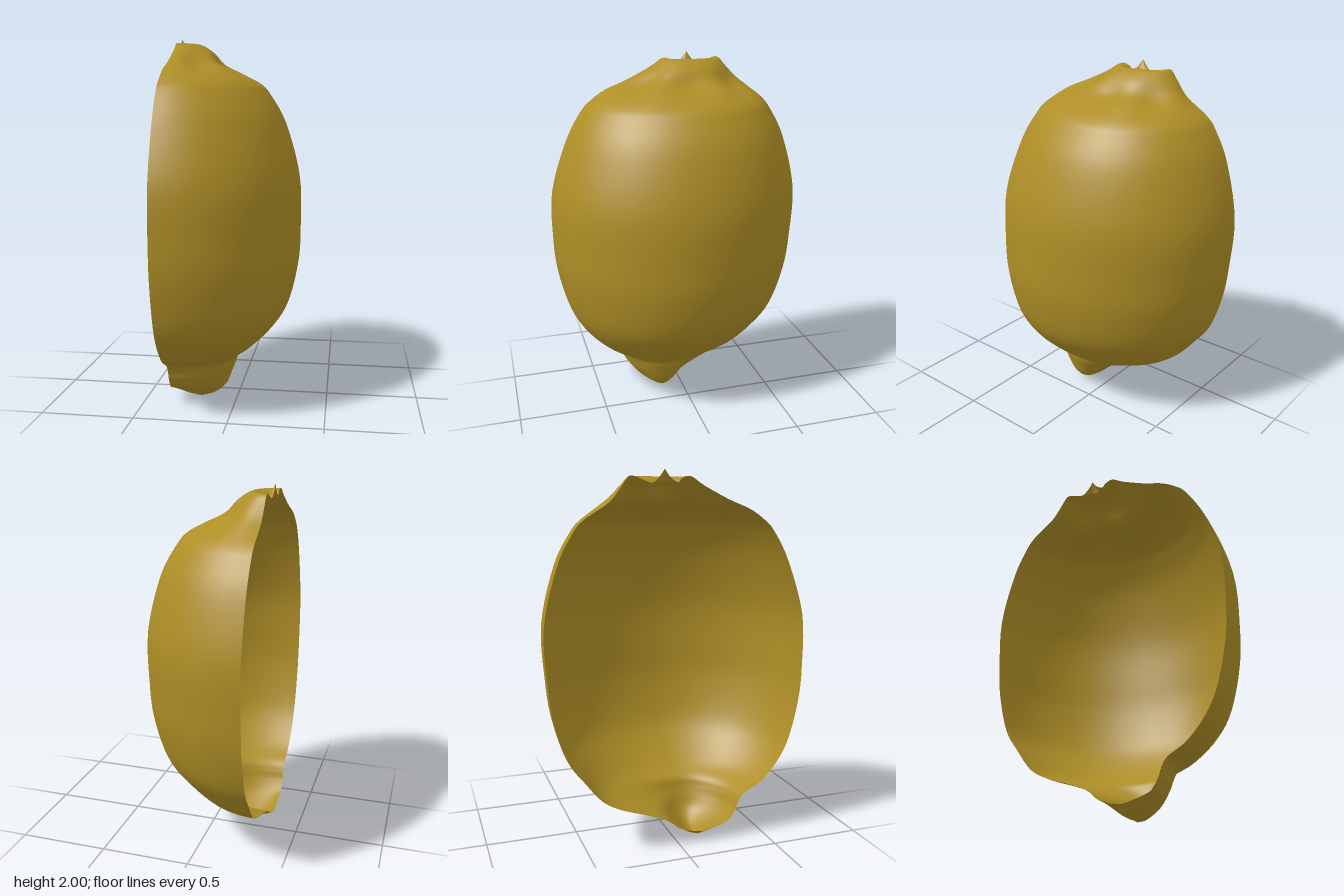
import * as THREE from 'three';

// Flat plane along which the fruit is halved
const CUT = -0.345;

// Horizontal sections, blossom tip to stem dimple: y, back z, front z, outermost x
const SECTIONS = [
  [0, 0.13, 0.13, -0.2],
  [0.025, 0.07, 0.19, -0.125],
  [0.08, 0.01, 0.27, -0.06],
  [0.15, -0.07, 0.325, -0.03],
  [0.2, -0.19, 0.345, -0.01],
  [0.25, -0.33, 0.38, 0.01],
  [0.31, -0.43, 0.485, 0.09],
  [0.42, -0.52, 0.585, 0.2],
  [0.55, -0.61, 0.65, 0.28],
  [0.76, -0.675, 0.7, 0.33],
  [0.95, -0.7, 0.715, 0.34],
  [1.24, -0.71, 0.705, 0.33],
  [1.53, -0.64, 0.61, 0.25],
  [1.69, -0.56, 0.52, 0.16],
  [1.75, -0.51, 0.46, 0.105],
  [1.8, -0.44, 0.38, 0.01],
  [1.85, -0.37, 0.25, -0.1],
  [1.92, -0.31, 0.12, -0.16],
  [1.965, -0.27, 0.05, -0.23],
  [1.955, -0.22, 0, -0.27],
  [1.935, -0.16, -0.02, -0.31],
  [1.96, -0.12, -0.06, -0.325],
  [2, -0.09, -0.09, CUT],
];

function rindGeometry(rows = 110, cols = 56) {
  // Smooth curves through the sections
  const smooth = (pick) => new THREE.CatmullRomCurve3(SECTIONS.map(pick), false, 'catmullrom', 0.5);
  const depth = smooth(([y, back, front]) => new THREE.Vector3(y, back, front));
  const width = smooth((s) => new THREE.Vector3(s[3], 0, 0));

  const positions = [];
  const indices = [];
  for (let j = 0; j <= rows; j++) {
    const { x: level, y: back, z: front } = depth.getPoint(j / rows);
    const reach = Math.max(0, width.getPoint(j / rows).x - CUT);
    // The axis leans backward from the tip to the stem
    const axis = THREE.MathUtils.clamp(0.13 - 0.11 * level, back, front);
    // Soft folds around the stem
    const fold = 0.012 * Math.exp(-Math.pow((level - 1.85) / 0.06, 2));
    for (let i = 0; i <= cols; i++) {
      const a = (i / cols) * Math.PI;
      const c = Math.cos(a);
      const x = CUT + reach * Math.pow(Math.max(0, Math.sin(a)), 0.93);
      const z = axis + c * (c > 0 ? front - axis : axis - back);
      // The tip rises toward the cut
      const k = Math.max(0, (-0.2 - x) / 0.145);
      const lift = 0.06 * k * k * Math.max(0, 1 - level / 0.1);
      positions.push(x, level + lift + fold * Math.sin(a * 7 + 0.6), z);
      if (i < cols && j < rows) {
        const p = j * (cols + 1) + i;
        const q = p + cols + 1;
        indices.push(p, p + 1, q + 1, p, q + 1, q);
      }
    }
  }
  const geometry = new THREE.BufferGeometry();
  geometry.setAttribute('position', new THREE.Float32BufferAttribute(positions, 3));
  geometry.setIndex(indices);
  geometry.computeVertexNormals();
  return geometry;
}

export function createModel() {
  const model = new THREE.Group();
  model.name = 'halfLemon';

  const lemonYellow = new THREE.MeshStandardMaterial({ color: 0xae8e26, side: THREE.DoubleSide });
  lemonYellow.name = 'lemonYellow';

  // Open half shell with blossom tip and stem crown
  const rind = new THREE.Mesh(rindGeometry(), lemonYellow);
  rind.name = 'rind';
  model.add(rind);
  return model;
}
